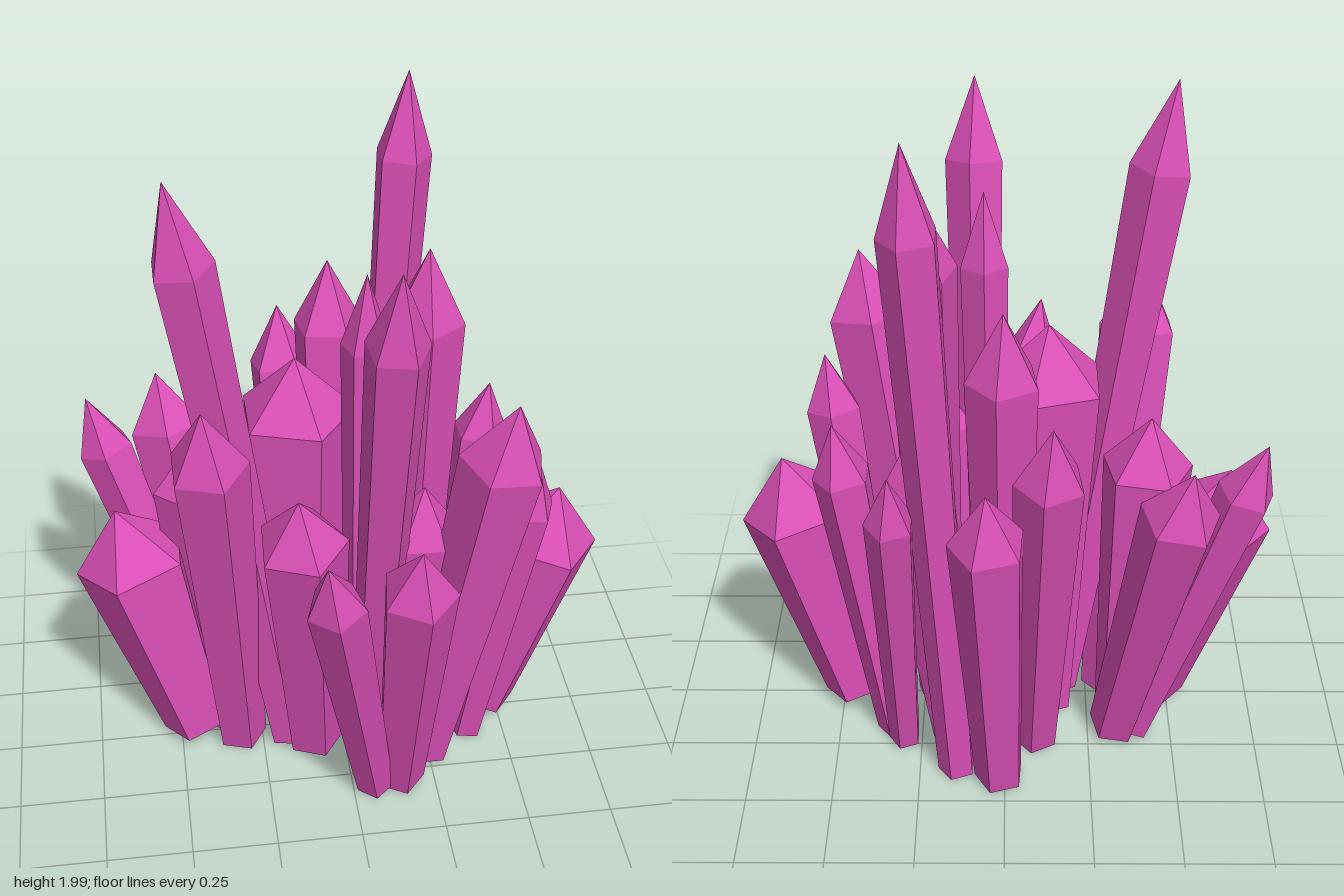
import * as THREE from 'three';

// Each crystal: tip x, y, z | base x, z | shoulder radius | facing of one edge in degrees (0 = +x, 90 = +z)
const CRYSTALS = {
  bigCrystal: [
    [0.65, 0.86, 0.01, 0.455, -0.015, 0.173, 0],
    [-0.65, 0.86, -0.05, -0.45, -0.01, 0.173, 180],
    [-0.12, 1.33, -0.055, -0.11, -0.05, 0.173, 0],
  ],
  tallCrystal: [
    [-0.46, 1.97, 0.115, -0.17, 0.05, 0.09, 0],
    [0.25, 2.0, -0.425, 0.14, -0.36, 0.083, 0],
    [0.09, 1.86, 0.46, 0.075, 0.12, 0.088, -80],
    [0.24, 1.68, 0.01, 0.2, 0.0, 0.108, 90],
    [0.06, 1.66, 0.09, 0.05, 0.08, 0.07, -90],
    [0.005, 1.49, -0.31, 0.0, -0.2, 0.105, -80],
  ],
  middleCrystal: [
    [0.43, 1.375, 0.335, 0.235, 0.17, 0.125, -97],
    [-0.4, 1.375, 0.26, -0.315, 0.03, 0.115, 0],
    [-0.125, 1.25, -0.49, -0.09, -0.23, 0.1, -80],
  ],
  shortCrystal: [
    [0.53, 1.1, 0.2, 0.385, 0.095, 0.083, 200],
    [0.475, 1.1, -0.21, 0.33, -0.17, 0.085, 0],
    [0.31, 1.08, -0.455, 0.3, -0.23, 0.072, 0],
    [0.21, 1.04, 0.2, 0.17, 0.12, 0.115, -90],
    [0.265, 1.06, -0.22, 0.14, -0.2, 0.115, -85],
    [0.05, 1.09, -0.555, 0.015, -0.4, 0.11, 4],
    [-0.5, 1.08, -0.43, -0.33, -0.18, 0.115, 20],
    [-0.71, 1.09, -0.3, -0.39, -0.18, 0.083, 20],
    [-0.41, 1.06, -0.1, -0.36, -0.08, 0.135, 170],
    [-0.15, 1.08, 0.28, -0.09, 0.08, 0.133, 75],
    [0.15, 1.06, 0.52, 0.145, 0.285, 0.11, 80],
    [-0.11, 1.09, 0.59, 0.065, 0.31, 0.085, 20],
  ],
};

const UP = new THREE.Vector3(0, 1, 0);
const SIDES = 5;

// Five-sided prism, widening upwards, closed by a pointed cap
function crystalGeometry(length, radius, baseRadius, facing) {
  const shoulder = length - (radius > 0.15 ? 0.175 : 0.07 + length * 0.09);
  const profile = [
    [0, 0],
    [baseRadius, 0],
    [radius, shoulder],
    [0, length],
  ].map(([r, y]) => new THREE.Vector2(r, y));
  const start = Math.PI / 2 - THREE.MathUtils.degToRad(facing);
  const geometry = new THREE.LatheGeometry(profile, SIDES, start).toNonIndexed();
  geometry.computeVertexNormals();
  return geometry;
}

export function createModel() {
  const model = new THREE.Group();
  model.name = 'crystalCluster';
  const material = new THREE.MeshStandardMaterial({ color: 0xd94fb5, flatShading: true });

  for (const [name, list] of Object.entries(CRYSTALS)) {
    const big = name === 'bigCrystal';
    list.forEach(([x, y, z, bx, bz, radius, facing], i) => {
      // Lift the base so its lowest corner stays just above the floor
      const baseRadius = radius * (big ? 0.6 : 0.67);
      const tilt = Math.atan2(Math.hypot(x - bx, z - bz), y);
      const base = new THREE.Vector3(bx, (big ? 0.038 : 0.012) + Math.sin(tilt) * baseRadius, bz);
      const axis = new THREE.Vector3(x, y, z).sub(base);
      const mesh = new THREE.Mesh(crystalGeometry(axis.length(), radius, baseRadius, facing), material);
      mesh.name = `${name}${i + 1}`;
      mesh.position.copy(base);
      mesh.quaternion.setFromUnitVectors(UP, axis.normalize());
      model.add(mesh);
    });
  }
  return model;
}
